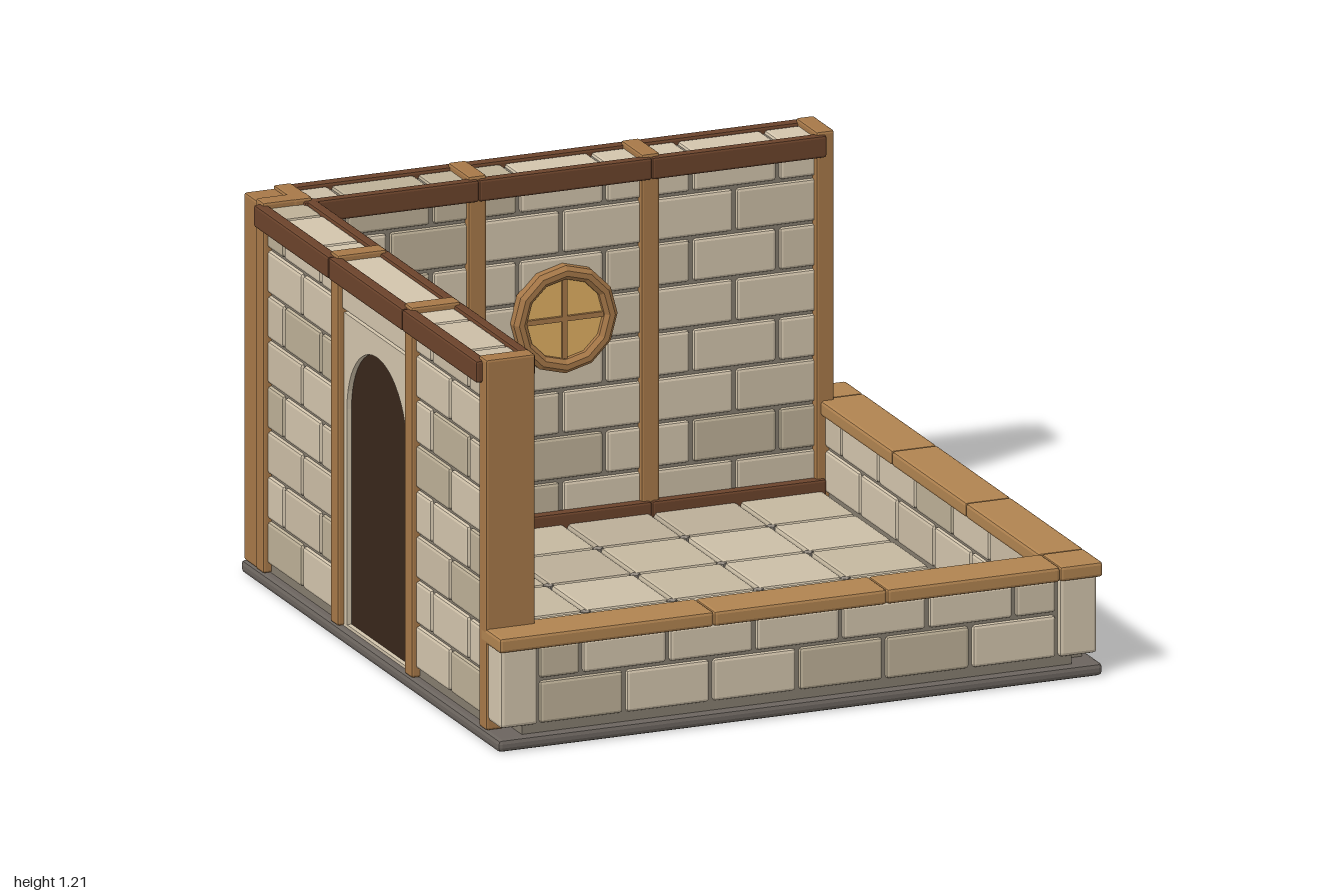
import * as THREE from 'three';
import { RoundedBoxGeometry } from 'three/addons/geometries/RoundedBoxGeometry.js';

const mat = (color) => new THREE.MeshStandardMaterial({ color, flatShading: true });
const M = {
  stone: [0xd2c4ac, 0xd2c4ac, 0xcbbda5, 0xbdb097].map(mat),
  tile: [0xcbbea6, 0xc4b79f, 0xbbae98].map(mat),
  mortar: mat(0x857c6e), base: mat(0x6b645e), wood: mat(0xa67848), cap: mat(0xb08350),
  dark: mat(0x6b432b), door: mat(0x20707a), groove: mat(0x123f45), back: mat(0x38261b),
  iron: mat(0x4a4543), glass: mat(0xe0b062), gold: mat(0xb8862f), step: mat(0x948c82),
};
const BAY = 1.7 / 3, BRICK = BAY / 2, ROW = 0.1425, Y0 = 0.07;
const POSTS = [-0.855, -BAY / 2, BAY / 2, 0.855];

let seed = 7;
const pick = (list) => {
  seed = (seed * 16807) % 2147483647;
  return list[seed % list.length];
};

function add(parent, name, geometry, material) {
  const mesh = new THREE.Mesh(geometry, material);
  mesh.name = name;
  parent.add(mesh);
  return mesh;
}

// Chamfered block given by its limits on each axis
function block(parent, name, material, [x0, x1], [y0, y1], [z0, z1], bevel = 0.008) {
  const g = bevel
    ? new RoundedBoxGeometry(x1 - x0, y1 - y0, z1 - z0, 1, bevel)
    : new THREE.BoxGeometry(x1 - x0, y1 - y0, z1 - z0);
  g.translate((x0 + x1) / 2, (y0 + y1) / 2, (z0 + z1) / 2);
  return add(parent, name, g, material);
}

// Running-bond bricks between two ends, leaving out an optional gap in the middle
function bricks(parent, top, zr, gap = 0) {
  for (let row = 0; Y0 + row * ROW < top - 0.01; row++) {
    const y = Y0 + row * ROW, y1 = Math.min(y + ROW - 0.01, top);
    for (let i = -4; i <= 3; i++) {
      const u = (i + (row % 2) / 2) * BRICK;
      let a = Math.max(u, -0.85), b = Math.min(u + BRICK, 0.85);
      if (gap) {
        if ((a + b) / 2 < -0.1) b = Math.min(b, -gap);
        else if ((a + b) / 2 > 0.1) a = Math.max(a, gap);
        else continue;
      }
      if (b - a > 0.03) block(parent, 'brick', pick(M.stone), [a + 0.006, b - 0.006], [y, y1], zr, 0.01);
    }
  }
}

// Arched outline: straight sides up to the spring line, half circle above
function archPath(path, r, bottom, spring) {
  path.moveTo(-r, bottom);
  path.lineTo(r, bottom);
  path.lineTo(r, spring);
  path.absarc(0, spring, r, 0, Math.PI, false);
  path.lineTo(-r, bottom);
  return path;
}

function extrude(shape, z0, z1, bevel = 0) {
  const g = new THREE.ExtrudeGeometry(shape, {
    depth: z1 - z0 - 2 * bevel, curveSegments: 12, bevelEnabled: bevel > 0,
    bevelSize: bevel, bevelThickness: bevel, bevelOffset: -bevel, bevelSegments: 1,
  });
  return g.translate(0, 0, z0 + bevel);
}

// Round framed window facing +z
function roundWindow(R, r, depth, sides) {
  const g = new THREE.Group();
  const c = (R - r) * 0.3;
  const profile = [[r, 0], [R, 0], [R, depth - c], [R - c, depth], [r + c, depth], [r, depth - c], [r, 0]]
    .map(([x, y]) => new THREE.Vector2(x, y));
  add(g, 'windowRing', new THREE.LatheGeometry(profile, sides).rotateX(Math.PI / 2), M.wood);
  add(g, 'windowPane', new THREE.CylinderGeometry(r, r, depth * 0.4, sides).rotateX(Math.PI / 2), M.glass)
    .position.z = depth * 0.2;
  return g;
}

// Tall wall along x, inner face towards +z
function tallWall(name, hasDoor) {
  const w = new THREE.Group();
  w.name = name;
  const zr = [-0.97, -0.84], gap = hasDoor ? BAY / 2 : 0;
  bricks(w, 1.19, zr, gap);
  const core = gap ? [[-0.85, -gap], [gap, 0.85]] : [[-0.85, 0.85]];
  core.forEach((x) => block(w, 'mortar', M.mortar, x, [0.03, 1.18], [-0.958, -0.852], 0));
  POSTS.forEach((u) => block(w, 'post', M.wood, [u - 0.03, u + 0.03], [0.04, 1.21], [-0.985, -0.823]));
  for (let i = 0; i < 3; i++) {
    const x = [POSTS[i], POSTS[i + 1]];
    block(w, 'innerTopBeam', M.dark, x, [1.13, 1.2], [-0.845, -0.81]);
    block(w, 'outerTopBeam', M.dark, x, [1.13, 1.2], [-1.005, -0.965]);
    if (!(hasDoor && i === 1)) block(w, 'skirting', M.dark, x, [0.06, 0.115], [-0.85, -0.812]);
  }
  return w;
}

function doorway() {
  const d = new THREE.Group();
  d.name = 'doorway';
  const spring = 0.73, r = 0.23, h = BAY / 2;
  // Stone surround with the arched opening
  const surround = new THREE.Shape([[-h, 0.04], [h, 0.04], [h, 1.03], [-h, 1.03]].map((p) => new THREE.Vector2(...p)));
  surround.holes.push(archPath(new THREE.Path(), r, 0.05, spring));
  add(d, 'doorSurround', extrude(surround, -0.965, -0.845), M.stone[0]);
  block(d, 'lintelStone', M.stone[0], [-h, h], [1.04, 1.19], [-0.97, -0.84]);
  // Door leaf, its dark outer side and plank grooves
  add(d, 'doorLeaf', extrude(archPath(new THREE.Shape(), r, 0.05, spring), -0.87, -0.832), M.door);
  add(d, 'doorBack', extrude(archPath(new THREE.Shape(), r, 0.05, spring), -0.95, -0.87), M.back);
  [-0.075, 0.075].forEach((u) => block(d, 'plankGroove', M.groove, [u - 0.004, u + 0.004], [0.07, 0.94], [-0.84, -0.8305], 0));
  [0.27, 0.67].forEach((y) => block(d, 'strap', M.iron, [-0.19, 0.19], [y - 0.015, y + 0.015], [-0.84, -0.822], 0.004));
  // Jambs and arch blocks
  [-1, 1].forEach((s) => block(d, 'jamb', M.wood, [s * 0.247 - 0.025, s * 0.247 + 0.025], [0.05, 0.725], [-0.86, -0.812]));
  const n = 8;
  for (let i = 0; i < n; i++) {
    const a = (i / n) * Math.PI + 0.012, b = ((i + 1) / n) * Math.PI - 0.012;
    const corner = (t, q) => new THREE.Vector2(Math.cos(t) * q, Math.sin(t) * q + spring);
    const wedge = new THREE.Shape([corner(a, 0.222), corner(a, 0.28), corner(b, 0.28), corner(b, 0.222)]);
    add(d, 'archBlock', extrude(wedge, -0.86, -0.808, 0.006), M.wood);
  }
  block(d, 'keystone', M.wood, [-0.033, 0.033], [0.94, 1.015], [-0.86, -0.79]);
  // Porthole, ring handle and threshold
  const port = roundWindow(0.08, 0.058, 0.035, 12);
  port.name = 'doorPorthole';
  port.position.set(0, 0.65, -0.832);
  d.add(port);
  block(d, 'handlePlate', M.gold, [0.125, 0.155], [0.425, 0.455], [-0.84, -0.815], 0.004);
  add(d, 'handleRing', new THREE.TorusGeometry(0.037, 0.007, 6, 14), M.gold).position.set(0.14, 0.4, -0.815);
  block(d, 'threshold', M.step, [-0.305, 0.305], [0.05, 0.1], [-0.86, -0.77], 0.01);
  return d;
}

// Low wall along x, outer face towards +z
function lowWall(name, capEdges, corners) {
  const w = new THREE.Group();
  w.name = name;
  bricks(w, 0.315, [0.855, 0.97]);
  block(w, 'mortar', M.mortar, [-0.9, 0.9], [0.03, 0.32], [0.866, 0.958], 0);
  corners.forEach((u) => block(w, 'cornerStone', M.stone[0], [u - 0.062, u + 0.062], [0.07, 0.32], [0.853, 0.977], 0.012));
  for (let i = 0; i + 1 < capEdges.length; i++)
    block(w, 'cap', M.cap, [capEdges[i], capEdges[i + 1]], [0.312, 0.36], [0.84, 0.99], 0.01);
  return w;
}

export function createModel() {
  const model = new THREE.Group();
  const room = new THREE.Group();
  room.name = 'room';
  room.position.set(0.005, 0, 0.005);
  model.add(room);

  // Base and tiled floor
  block(room, 'base', M.base, [-0.99, 0.99], [0, 0.04], [-0.99, 0.99], 0.014);
  block(room, 'floorBed', M.mortar, [-0.84, 0.84], [0.03, 0.062], [-0.84, 0.84], 0);
  for (let i = 0; i < 6; i++)
    for (let j = 0; j < 6; j++) {
      const x = -0.85 + i * BRICK, z = -0.85 + j * BRICK;
      block(room, 'floorTile', pick(M.tile), [x + 0.006, x + BRICK - 0.006], [0.04, 0.078], [z + 0.006, z + BRICK - 0.006], 0.01);
      if (i && j) {
        const stud = add(room, 'floorStud', new THREE.BoxGeometry(0.025, 0.03, 0.025), M.step);
        stud.position.set(x, 0.06, z);
        stud.rotation.y = Math.PI / 4;
      }
    }

  // Tall walls and their shared corner post
  const back = tallWall('backWall', false);
  const side = tallWall('doorWall', true);
  side.add(doorway());
  side.rotation.y = Math.PI / 2;
  room.add(back, side);
  block(room, 'cornerPost', M.wood, [-0.982, -0.845], [0.04, 1.2], [-0.982, -0.845]);

  // Round window with glazing bars
  const win = roundWindow(0.17, 0.127, 0.045, 12);
  win.name = 'roundWindow';
  block(win, 'glazingBar', M.wood, [-0.008, 0.008], [-0.125, 0.125], [0, 0.028], 0);
  block(win, 'glazingBar', M.wood, [-0.125, 0.125], [-0.008, 0.008], [0, 0.028], 0);
  win.position.set(0, 0.725, -0.845);
  back.add(win);

  // Low walls
  const h = BAY / 2;
  const front = lowWall('frontLowWall', [-0.985, -h, h, 0.85, 0.99], [-0.915, 0.915]);
  const right = lowWall('sideLowWall', [-0.84, -h, h, 0.85, 0.985], [0.915]);
  right.rotation.y = Math.PI / 2;
  room.add(front, right);
  return model;
}
